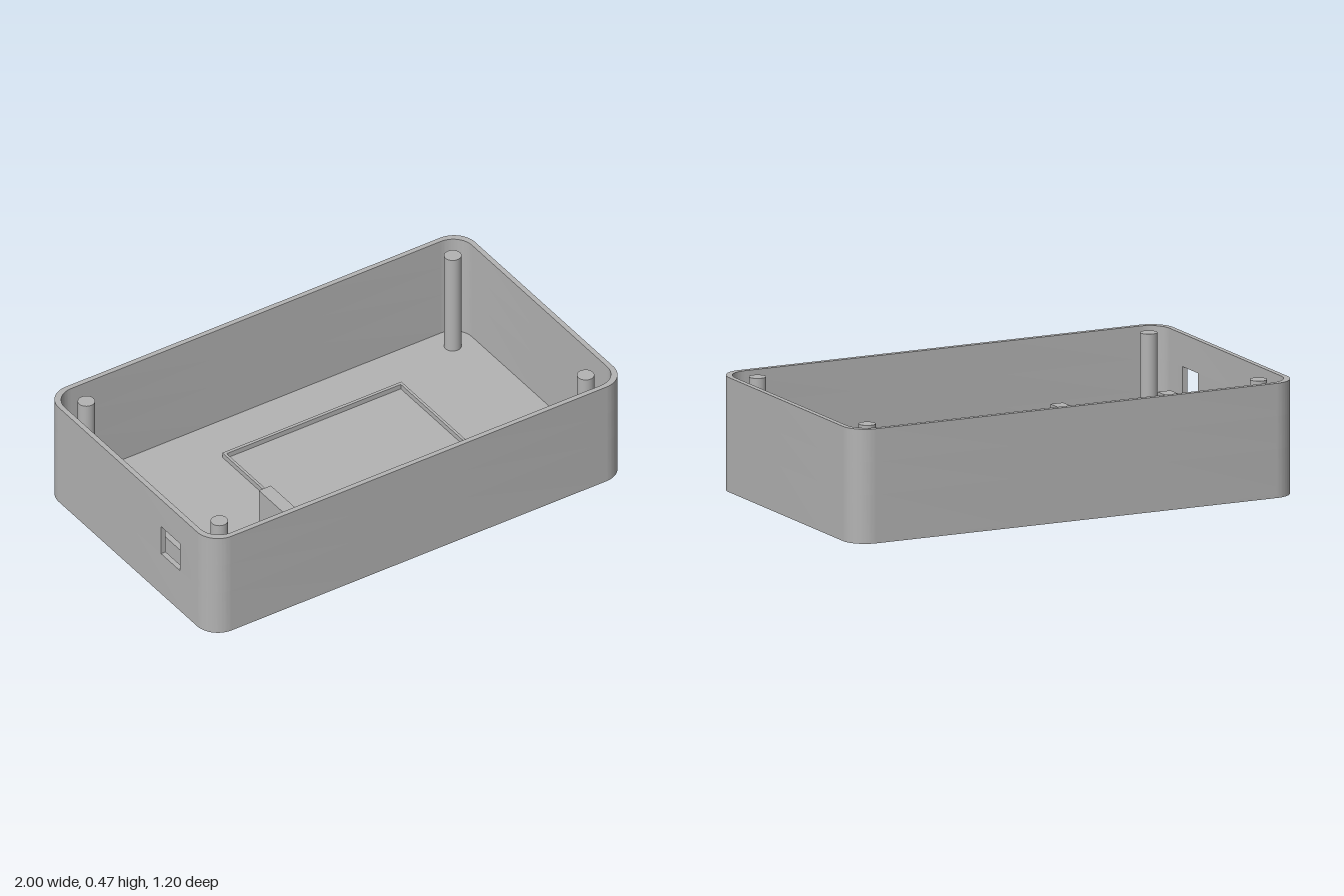
import * as THREE from 'three';
import { toCreasedNormals } from 'three/addons/utils/BufferGeometryUtils.js';

const HEIGHT = 0.47, FLOOR = 0.013, WALL = 0.022;
const SLOT = { y0: 0.2, y1: 0.335, z0: 0.24, z1: 0.375 };

// Counter-clockwise rounded rectangle, starting and ending on the -x side
function outline(w, h, r) {
  const path = new THREE.Path();
  path.absarc(-w + r, -h + r, r, Math.PI, Math.PI * 1.5);
  path.absarc(w - r, -h + r, r, Math.PI * 1.5, Math.PI * 2);
  path.absarc(w - r, h - r, r, 0, Math.PI / 2);
  path.absarc(-w + r, h - r, r, Math.PI / 2, Math.PI);
  return path.getPoints(12);
}

// Extrude a plan shape (x, -z) upward from y0 to y1
function slab(shape, y0, y1) {
  const geo = new THREE.ExtrudeGeometry(shape, { depth: y1 - y0, bevelEnabled: false });
  geo.rotateX(-Math.PI / 2);
  geo.translate(0, y0, 0);
  return toCreasedNormals(geo, 0.5);
}

export function createModel() {
  const group = new THREE.Group();
  group.name = 'enclosure';
  const grey = new THREE.MeshStandardMaterial({ color: 0xb3b3b3 });
  grey.name = 'grey plastic';

  const add = (name, geo, x = 0, y = 0, z = 0) => {
    const mesh = new THREE.Mesh(geo, grey);
    mesh.name = name;
    mesh.position.set(x, y, z);
    group.add(mesh);
  };

  const outer = outline(1, 0.6, 0.1);
  const inner = outline(1 - WALL, 0.6 - WALL, 0.09);

  // Floor plate
  add('floor', slab(new THREE.Shape(outer), 0, FLOOR));

  // Walls: full rings below and above the port opening
  const ring = new THREE.Shape(outer);
  ring.holes.push(new THREE.Path(inner));
  add('lowerWall', slab(ring, FLOOR, SLOT.y0));
  add('upperWall', slab(ring, SLOT.y1, HEIGHT));

  // Middle band of the wall, left open at the port
  const v = (x, z) => new THREE.Vector2(x, -z);
  const openRing = new THREE.Shape([
    v(-1, SLOT.z1), ...outer, v(-1, SLOT.z0),
    v(-1 + WALL, SLOT.z0), ...[...inner].reverse(), v(-1 + WALL, SLOT.z1),
  ]);
  add('portWall', slab(openRing, SLOT.y0, SLOT.y1));

  // Four corner screw posts
  const post = new THREE.CylinderGeometry(0.035, 0.035, 0.465 - FLOOR, 32);
  for (const x of [-0.88, 0.88])
    for (const z of [-0.48, 0.48]) add('cornerPost', post, x, (0.465 + FLOOR) / 2, z);

  // Two upright board supports
  const support = new THREE.BoxGeometry(0.058, 0.232 - FLOOR, 0.28);
  for (const x of [-0.918, -0.435]) add('boardSupport', support, x, (0.232 + FLOOR) / 2, 0.28);

  // Thin raised frame on the floor
  const rect = (x0, x1, z0, z1) => [v(x0, z1), v(x1, z1), v(x1, z0), v(x0, z0)];
  const frame = new THREE.Shape(rect(-0.3, 0.56, -0.37, 0.22));
  frame.holes.push(new THREE.Path(rect(-0.288, 0.548, -0.356, 0.205)));
  add('displayFrame', slab(frame, FLOOR, 0.035));

  return group;
}
